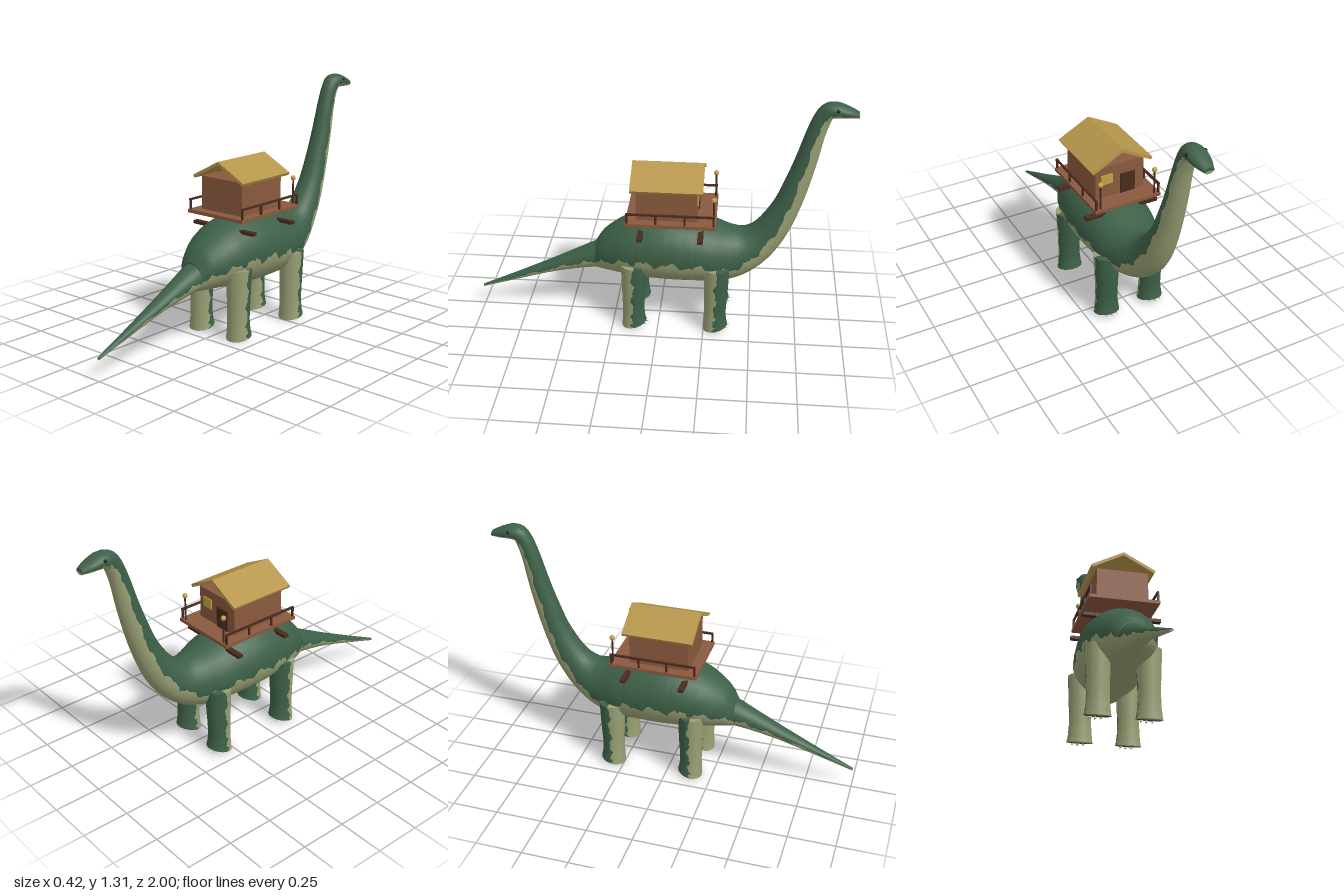
import * as THREE from 'three';

const mat = (name, color, extra = {}) => {
  const m = new THREE.MeshStandardMaterial({ color, ...extra });
  m.name = name;
  return m;
};

export function createModel() {
  const green = mat('dark green hide', 0x3d6048);
  const belly = mat('pale olive hide', 0x98a074);
  const wood = mat('brown wood', 0x8a593e);
  const dark = mat('dark wood', 0x4a2a1e);
  const straw = mat('straw roof', 0xb6954a);
  const glow = mat('lamp yellow', 0xc2a248);
  const claw = mat('claw', 0xcfc8aa);
  const black = mat('eye', 0x1c1614);

  const root = new THREE.Group();
  root.name = 'sauropodWithHut';
  const add = (name, geo, material, x = 0, y = 0, z = 0, parent = root) => {
    const m = new THREE.Mesh(geo, material);
    m.name = name;
    m.position.set(x, y, z);
    parent.add(m);
    return m;
  };
  const box = (name, w, h, d, material, x, y, z, parent) =>
    add(name, new THREE.BoxGeometry(w, h, d), material, x, y, z, parent);

  // Ragged edge between the two hide colours, in degrees
  const ragged = (s, amp) =>
    amp * (Math.sin(s * 5.1) + 0.6 * Math.sin(s * 11.3 + 1) + 0.35 * Math.sin(s * 23.7 + 2));

  // Loft of elliptical rings. Station: [z, y of dark edge, z, y of pale edge, half width, colour split angle]
  function loft(stations, rows, amp, seed) {
    const H = 14, N = H * 2;
    const curve = f => new THREE.CatmullRomCurve3(stations.map(f), false, 'catmullrom', 0.5);
    const a = curve(s => new THREE.Vector3(s[4], s[1], s[0]));
    const b = curve(s => new THREE.Vector3(s[5] / 100, s[3], s[2]));
    const pos = [], darkIdx = [], paleIdx = [];
    const ring = (t, size) => {
      const p = a.getPoint(t), q = b.getPoint(t);
      const split = (q.x * 100 + ragged(seed + t * stations.length, amp)) * Math.PI / 180;
      const cy = (p.y + q.y) / 2, cz = (p.z + q.z) / 2;
      for (let j = 0; j < N; j++) {
        const ang = j <= H ? -split + 2 * split * j / H
          : split + (2 * Math.PI - 2 * split) * (j - H) / H;
        const c = Math.cos(ang) * size, s = Math.sin(ang) * size;
        pos.push(p.x * s, cy + (p.y - q.y) / 2 * c, cz + (p.z - q.z) / 2 * c);
      }
    };
    const sizes = [[0, 0.001], [0, 1]];
    for (let i = 0; i <= rows; i++) sizes.push([i / rows, 1]);
    sizes.push([1, 1], [1, 0.001]);
    sizes.forEach(([t, size]) => ring(t, size));
    for (let i = 0; i < sizes.length - 1; i++) {
      if (i === 1 || i === sizes.length - 3) continue; // hard edge at the end caps
      for (let j = 0; j < N; j++) {
        const k = (j + 1) % N, p = i * N, q = p + N;
        (j < H ? darkIdx : paleIdx).push(p + j, p + k, q + j, p + k, q + k, q + j);
      }
    }
    const g = new THREE.BufferGeometry();
    g.setAttribute('position', new THREE.Float32BufferAttribute(pos, 3));
    g.setIndex([...darkIdx, ...paleIdx]);
    g.addGroup(0, darkIdx.length, 0);
    g.addGroup(darkIdx.length, paleIdx.length, 1);
    g.computeVertexNormals();
    return g;
  }
  const hide = [green, belly];

  // Body, neck and head in one sweep
  add('bodyNeckHead', loft([
    [0.35, 0.445, 0.35, 0.29, 0.075, 98],
    [0.3, 0.515, 0.3, 0.285, 0.115, 100],
    [0.2, 0.585, 0.2, 0.277, 0.165, 98],
    [0.1, 0.625, 0.1, 0.265, 0.19, 97],
    [-0.02, 0.645, -0.02, 0.258, 0.205, 98],
    [-0.15, 0.635, -0.15, 0.255, 0.2, 98],
    [-0.28, 0.6, -0.28, 0.258, 0.183, 100],
    [-0.38, 0.568, -0.4, 0.27, 0.145, 106],
    [-0.45, 0.565, -0.51, 0.325, 0.115, 100],
    [-0.52, 0.615, -0.61, 0.425, 0.09, 95],
    [-0.6, 0.735, -0.69, 0.565, 0.075, 94],
    [-0.655, 0.87, -0.755, 0.75, 0.063, 92],
    [-0.7, 1.0, -0.805, 0.95, 0.055, 92],
    [-0.745, 1.15, -0.838, 1.12, 0.048, 95],
    [-0.785, 1.25, -0.86, 1.195, 0.046, 102],
    [-0.83, 1.298, -0.87, 1.222, 0.05, 110],
    [-0.89, 1.305, -0.895, 1.228, 0.053, 112],
    [-0.95, 1.285, -0.95, 1.228, 0.045, 110],
    [-1.0, 1.26, -1.0, 1.228, 0.026, 100],
  ], 150, 5, 0), hide);

  // Tail, tip to root
  add('tail', loft([
    [1, 0.125, 1, 0.11, 0.008, 90],
    [0.8, 0.217, 0.8, 0.175, 0.025, 90],
    [0.6, 0.312, 0.6, 0.238, 0.044, 92],
    [0.45, 0.388, 0.45, 0.272, 0.06, 95],
    [0.35, 0.437, 0.35, 0.288, 0.075, 95],
    [0.25, 0.47, 0.25, 0.288, 0.08, 95],
  ], 60, 7, 3), hide);

  // Legs with claws: dark in front, pale behind
  [0.13, -0.315].forEach((z, i) => [-1, 1].forEach(side => {
    const leg = new THREE.Group();
    leg.name = (i ? 'front' : 'hind') + (side > 0 ? 'LeftLeg' : 'RightLeg');
    leg.position.set(side * 0.133, 0, z);
    root.add(leg);
    add('leg', loft([
      [-0.068, 0.392, 0.07, 0.39, 0.07, 90],
      [-0.063, 0.25, 0.066, 0.25, 0.063, 92],
      [-0.056, 0.12, 0.063, 0.12, 0.06, 92],
      [-0.06, 0.06, 0.065, 0.035, 0.065, 96],
      [-0.066, 0.032, 0.067, 0.0, 0.07, 100],
    ], 40, 7, i * 2 + side), hide, 0, 0, 0, leg);
    for (const t of [-1, 0, 1]) {
      const c = add('claw', new THREE.ConeGeometry(0.011, 0.03, 8), claw,
        t * 0.03, 0.026, -0.064 + Math.abs(t) * 0.009, leg);
      c.rotation.set(-1.9, 0, 0);
    }
  }));

  // Eyes
  for (const s of [-1, 1]) add('eye', new THREE.SphereGeometry(0.009, 12, 8), black, s * 0.048, 1.278, -0.89);

  // Carrying beams and deck
  const hut = new THREE.Group();
  hut.name = 'hut';
  root.add(hut);
  for (const z of [0.093, -0.225]) box('carryingBeam', 0.42, 0.018, 0.03, dark, 0, 0.579, z, hut);
  box('deck', 0.38, 0.018, 0.475, wood, 0, 0.656, -0.067, hut);

  // Cabin with door and window on the head side
  box('cabin', 0.28, 0.18, 0.32, wood, 0, 0.755, -0.045, hut);
  box('door', 0.085, 0.115, 0.008, dark, -0.045, 0.7225, -0.207, hut);
  box('window', 0.065, 0.055, 0.008, glow, 0.075, 0.77, -0.207, hut);

  // Gabled roof
  const chevron = new THREE.Shape([
    [0, 0.942], [-0.175, 0.85], [-0.167, 0.835], [0, 0.924], [0.167, 0.835], [0.175, 0.85],
  ].map(p => new THREE.Vector2(...p)));
  add('roof', new THREE.ExtrudeGeometry(chevron, { depth: 0.38, bevelEnabled: false }), straw, 0, 0, -0.235, hut);

  // Railings and lamps on both sides
  for (const s of [-1, 1]) {
    box('rail', 0.01, 0.01, 0.465, dark, s * 0.181, 0.718, -0.067, hut);
    for (let i = 0; i < 4; i++)
      box('railPost', 0.01, 0.058, 0.01, dark, s * 0.181, 0.692, 0.16 - i * 0.151, hut);
    add('lampPost', new THREE.CylinderGeometry(0.005, 0.005, 0.14, 8), dark, s * 0.157, 0.735, -0.292, hut);
    add('lamp', new THREE.SphereGeometry(0.014, 12, 8), glow, s * 0.157, 0.808, -0.292, hut);
  }
  return root;
}
